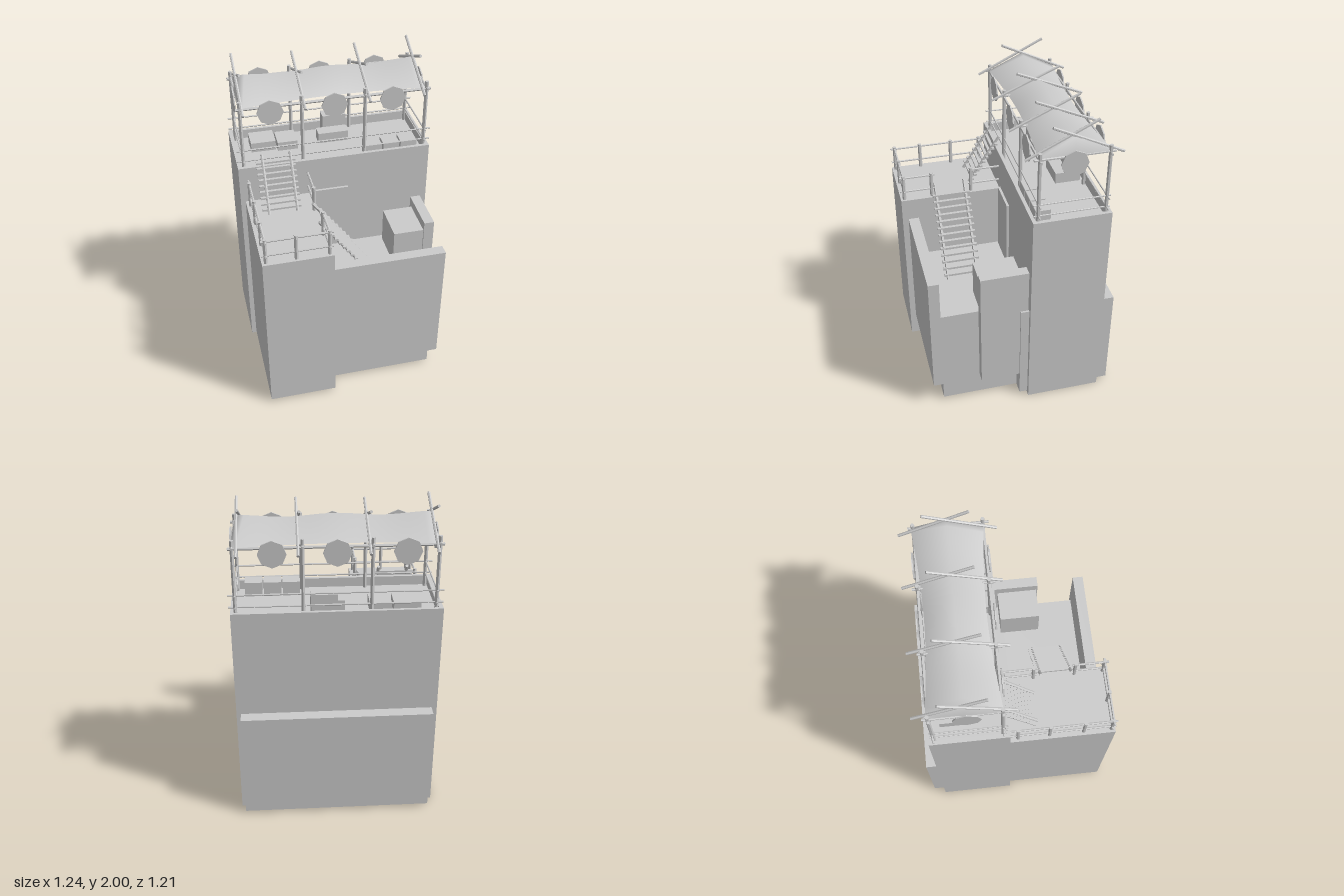
import * as THREE from 'three';
import { ParametricGeometry } from 'three/addons/geometries/ParametricGeometry.js';

const solid = new THREE.MeshStandardMaterial({ color: 0xcccccc, flatShading: true });
const shell = new THREE.MeshStandardMaterial({ color: 0xcccccc, flatShading: true, side: THREE.DoubleSide });
const cloth = new THREE.MeshStandardMaterial({ color: 0xcccccc, side: THREE.DoubleSide });

function add(parent, name, geometry, material = solid) {
  const mesh = new THREE.Mesh(geometry, material);
  mesh.name = name;
  parent.add(mesh);
  return mesh;
}

function group(parent, name) {
  const g = new THREE.Group();
  g.name = name;
  parent.add(g);
  return g;
}

// Box given by its limits
function box(parent, name, [x0, x1], [y0, y1], [z0, z1]) {
  const g = new THREE.BoxGeometry(x1 - x0, y1 - y0, z1 - z0);
  g.translate((x0 + x1) / 2, (y0 + y1) / 2, (z0 + z1) / 2);
  return add(parent, name, g);
}

// Box without an underside
function hollowBox(...args) {
  const mesh = box(...args);
  const index = Array.from(mesh.geometry.index.array);
  index.splice(18, 6);
  mesh.geometry.setIndex(index);
  mesh.geometry.clearGroups();
  mesh.material = shell;
}

// Six-sided pole between two points
function pole(parent, name, a, b, r) {
  const p = new THREE.Vector3(...a), q = new THREE.Vector3(...b);
  const mesh = add(parent, name, new THREE.CylinderGeometry(r, r, p.distanceTo(q), 6));
  mesh.position.copy(p).add(q).multiplyScalar(0.5);
  mesh.quaternion.setFromUnitVectors(new THREE.Vector3(0, 1, 0), q.sub(p).normalize());
}

function rectangle(path, x0, x1, y0, y1) {
  path.moveTo(x0, y0).lineTo(x1, y0).lineTo(x1, y1).lineTo(x0, y1).closePath();
  return path;
}

function buildWalls(model) {
  const walls = group(model, 'walls');
  hollowBox(walls, 'tower', [-0.62, 0.61], [0, 1.34], [-0.53, -0.053]);
  hollowBox(walls, 'backBlock', [-0.587, 0.583], [0.018, 0.717], [-0.605, 0]);
  hollowBox(walls, 'terraceBlock', [-0.59, -0.163], [0.018, 1.155], [-0.05, 0.6]);
  hollowBox(walls, 'lowerBlock', [-0.163, 0.505], [0.018, 0.717], [-0.05, 0.495]);
  hollowBox(walls, 'frontPanel', [-0.163, 0.54], [0.175, 1.01], [0.495, 0.562]);
  hollowBox(walls, 'sidePanel', [0.505, 0.57], [0.175, 1.01], [-0.05, 0.252]);
  hollowBox(walls, 'innerBlock', [0.31, 0.505], [0.717, 0.95], [-0.02, 0.242]);
  hollowBox(walls, 'door', [-0.155, 0.075], [0.717, 1.17], [-0.053, -0.037]);

  // Low parapet around the tower deck
  const rim = rectangle(new THREE.Shape(), -0.62, 0.61, 0.053, 0.53);
  rim.holes.push(rectangle(new THREE.Path(), -0.595, 0.585, 0.075, 0.51));
  const g = new THREE.ExtrudeGeometry(rim, { depth: 0.06, bevelEnabled: false });
  add(walls, 'parapet', g.rotateX(-Math.PI / 2).translate(0, 1.34, 0));
}

function buildTerraceRailing(model) {
  const railing = group(model, 'terraceRailing');
  const posts = [[-0.565, 0], [-0.565, 0.195], [-0.565, 0.405], [-0.565, 0.575],
    [-0.385, 0.575], [-0.187, 0.575], [-0.187, 0.395], [-0.187, 0.137]];
  for (const [x, z] of posts) pole(railing, 'railPost', [x, 1.155, z], [x, 1.325, z], 0.012);
  for (const y of [1.21, 1.31]) {
    pole(railing, 'leftRail', [-0.565, y, -0.05], [-0.565, y, 0.6], 0.007);
    pole(railing, 'frontRail', [-0.59, y, 0.575], [-0.163, y, 0.575], 0.007);
    pole(railing, 'sideRail', [-0.187, y, 0.375], [-0.187, y, 0.6], 0.007);
    pole(railing, 'sideRail', [-0.187, y, -0.05], [-0.187, y, 0.155], 0.007);
  }
}

function buildLadders(model) {
  // Stair from the lower block to the terrace
  const stair = group(model, 'stair');
  for (const z of [0.18, 0.372]) pole(stair, 'stairRail', [0.165, 0.725, z], [-0.205, 1.235, z], 0.01);
  for (let i = 0; i < 13; i++) {
    const x = 0.148 - i * 0.0252, y = 0.75 + i * 0.0348;
    box(stair, 'step', [x - 0.01, x + 0.01], [y - 0.007, y + 0.007], [0.155, 0.395]);
  }
  // Ladder from the terrace to the tower deck
  const ladder = group(model, 'ladder');
  for (const x of [-0.467, -0.29]) pole(ladder, 'ladderRail', [x, 1.16, 0.128], [x, 1.47, -0.078], 0.01);
  for (let i = 0; i < 9; i++) {
    const y = 1.185 + i * 0.03, z = 0.108 - i * 0.02;
    box(ladder, 'rung', [-0.508, -0.264], [y - 0.006, y + 0.006], [z - 0.009, z + 0.009]);
  }
}

function buildDeck(model) {
  // Pavilion posts with railings and beams
  const frame = group(model, 'pavilionFrame');
  for (const z of [-0.09, -0.498]) {
    for (const x of [-0.58, -0.205, 0.19, 0.58]) {
      pole(frame, 'pavilionPost', [x, 1.34, z], [x, 1.84, z], 0.012);
    }
    for (const y of [1.43, 1.505]) pole(frame, 'longRail', [-0.62, y, z], [0.62, y, z], 0.005);
    pole(frame, 'eaveBeam', [-0.605, 1.79, z], [0.605, 1.79, z], 0.009);
  }
  for (const x of [-0.58, 0.58]) {
    for (const y of [1.43, 1.505]) pole(frame, 'endRail', [x, y, -0.52], [x, y, -0.06], 0.005);
  }
  for (const x of [-0.58, -0.205, 0.19, 0.58]) {
    pole(frame, 'crossTie', [x, 1.8, -0.53], [x, 1.8, -0.055], 0.008);
  }

  // Rafters crossing above the ridge
  for (const [x, rise] of [[-0.565, 0.005], [-0.19, -0.02], [0.21, -0.01], [0.55, 0.005]]) {
    pole(frame, 'frontRafter', [x - 0.006, 1.785, -0.012], [x - 0.006, 1.985 + rise, -0.435], 0.009);
    pole(frame, 'backRafter', [x + 0.006, 1.775, -0.588], [x + 0.006, 1.97 + rise, -0.165], 0.009);
  }

  // Crates and benches on the deck
  const goods = group(model, 'crates');
  box(goods, 'crate', [-0.5, -0.34], [1.34, 1.405], [-0.46, -0.32]);
  box(goods, 'crate', [-0.33, -0.2], [1.34, 1.4], [-0.44, -0.3]);
  box(goods, 'tallCrate', [-0.01, 0.145], [1.34, 1.49], [-0.49, -0.41]);
  box(goods, 'lowCrate', [-0.055, 0.145], [1.34, 1.41], [-0.41, -0.33]);
  for (const x of [0.2, 0.315, 0.43]) box(goods, 'bench', [x, x + 0.105], [1.34, 1.43], [-0.18, -0.085]);
}

function buildRoof(model) {
  const roof = group(model, 'roof');
  // Cloth tent: the first and last columns drop to the eaves to close the gables
  const columns = 26;
  const sheet = new ParametricGeometry((u, v, p) => {
    const column = Math.round(u * columns);
    const gable = column === 0 || column === columns;
    const s = THREE.MathUtils.clamp((column - 1) / (columns - 2), 0, 1);
    const t = v * 2 - 1;
    const ridge = 0.112 - 0.016 * Math.sin(s * 2 * Math.PI) ** 2;
    const x = gable ? (u - 0.5) * 1.17 : (s - 0.5) * 1.12;
    const halfWidth = 0.212 - 0.036 * Math.sin(s * Math.PI);
    p.set(x, 1.8 + (gable ? 0 : ridge * (1 - Math.abs(t))), -0.298 + t * halfWidth);
  }, columns, 2);
  sheet.computeVertexNormals();
  add(roof, 'clothRoof', sheet, cloth);

  // Octagonal shields hung along the eaves and at both ends
  const disc = new THREE.CylinderGeometry(0.082, 0.082, 0.008, 8).rotateX(Math.PI / 2);
  for (const x of [-0.4, -0.005, 0.36]) {
    for (const z of [-0.075, -0.515]) add(roof, 'shield', disc).position.set(x, 1.758, z);
  }
  for (const side of [-1, 1]) {
    const end = add(roof, 'endShield', disc);
    end.position.set(side * 0.594, 1.758, -0.288);
    end.rotation.y = Math.PI / 2;
  }
}

export function createModel() {
  const model = new THREE.Group();
  model.name = 'watchtower';
  buildWalls(model);
  buildTerraceRailing(model);
  buildLadders(model);
  buildDeck(model);
  buildRoof(model);
  return model;
}
